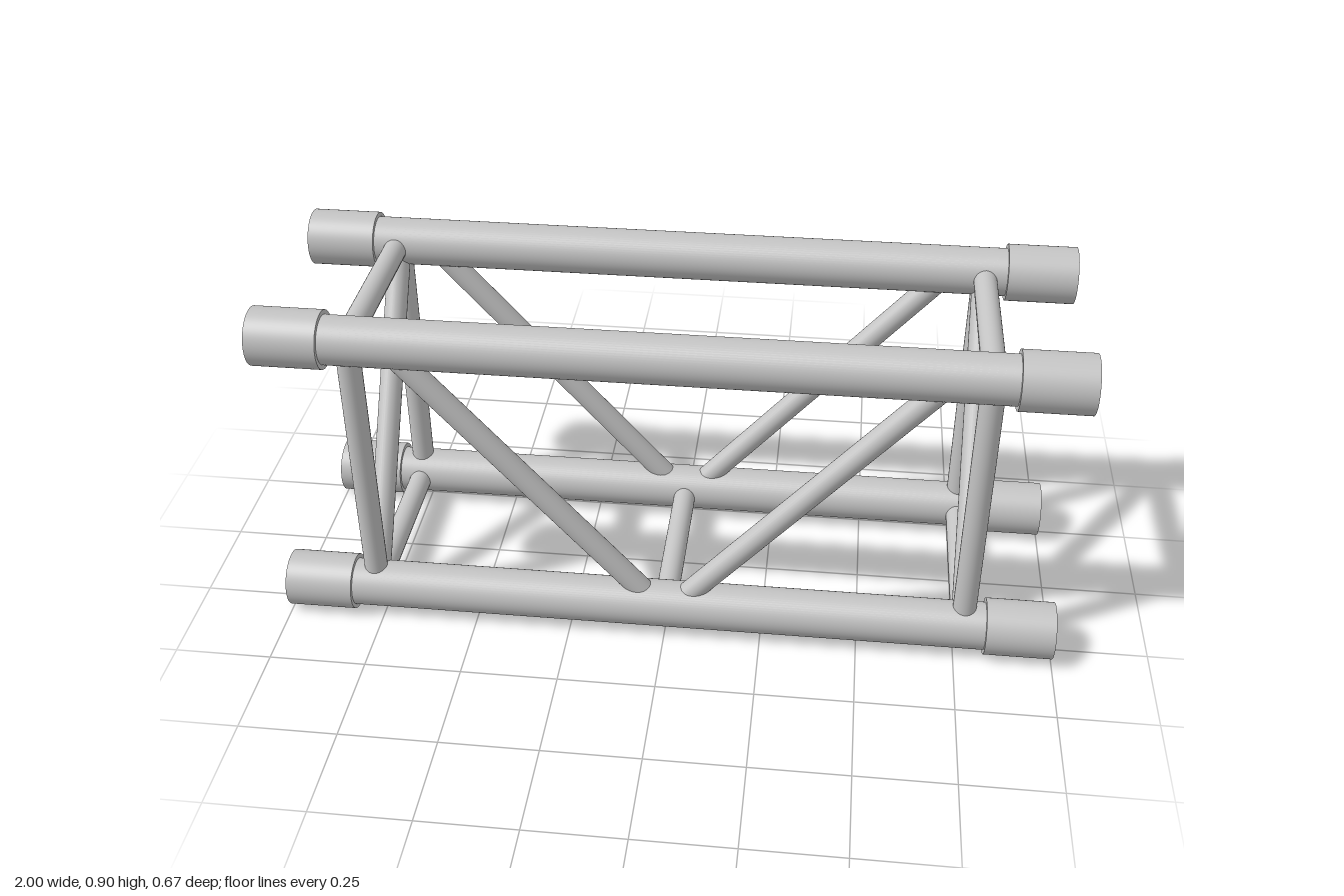
import * as THREE from 'three';

const LOW = 0.073, HIGH = 0.823, SIDE = 0.26, END = 0.77;

export function createModel() {
  const model = new THREE.Group();
  model.name = 'trussSegment';
  const aluminium = new THREE.MeshStandardMaterial({ color: 0xc4c4c4 });
  aluminium.name = 'aluminium';

  // Round bar running between two points
  function bar(name, radius, from, to, sides = 32) {
    const a = new THREE.Vector3(...from), b = new THREE.Vector3(...to);
    const dir = b.clone().sub(a);
    const mesh = new THREE.Mesh(new THREE.CylinderGeometry(radius, radius, dir.length(), sides), aluminium);
    mesh.name = name;
    mesh.position.copy(a).add(b).multiplyScalar(0.5);
    mesh.quaternion.setFromUnitVectors(new THREE.Vector3(0, 1, 0), dir.normalize());
    model.add(mesh);
  }

  // Four main chords with a thicker connector at each end
  for (const y of [LOW, HIGH]) {
    for (const z of [-SIDE, SIDE]) {
      bar('chord', 0.0615, [-0.83, y, z], [0.83, y, z], 64);
      for (const s of [-1, 1]) bar('endConnector', 0.073, [s * 0.825, y, z], [s, y, z], 64);
    }
  }

  for (const s of [-1, 1]) {
    const x = s * END;
    // Uprights and sloping braces on the front and back
    for (const z of [-SIDE, SIDE]) {
      bar('upright', 0.03, [x, LOW, z], [x, HIGH, z]);
      bar('sideDiagonal', 0.03, [s * 0.025, LOW, z], [s * 0.686, HIGH, z]);
    }
    // Cross bars and the diagonal of each end frame
    for (const y of [LOW, HIGH]) bar('endCrossBar', 0.03, [x, y, -SIDE], [x, y, SIDE]);
    bar('endDiagonal', 0.03, [x, LOW, SIDE], [x, HIGH, -SIDE]);
  }

  // Middle cross bar between the lower chords
  bar('middleCrossBar', 0.03, [0, LOW, -SIDE], [0, LOW, SIDE]);

  return model;
}
